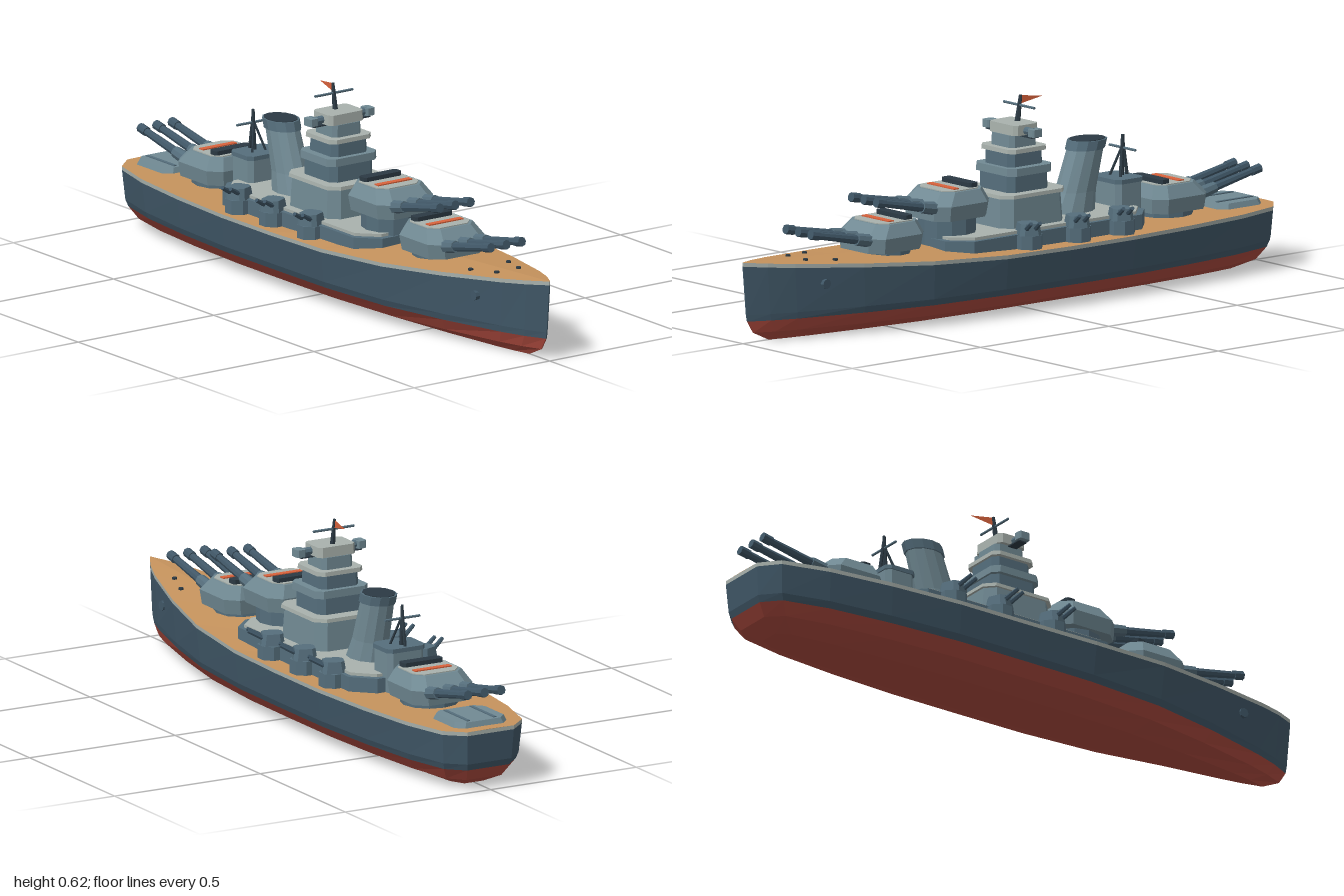
import * as THREE from 'three';

const mat = (name, color) => {
  const m = new THREE.MeshStandardMaterial({ color });
  m.name = name;
  return m;
};
const M = {
  red: mat('hull red', 0xac4a3e),
  hull: mat('hull blue', 0x405767),
  wood: mat('deck wood', 0xc6935d),
  light: mat('pale grey', 0xa9b2ad),
  mid: mat('blue grey', 0x718a94),
  steel: mat('steel blue', 0x556e7c),
  dark: mat('dark steel', 0x2c3a44),
  orange: mat('signal orange', 0xd9623c),
};
M.flag = M.orange.clone();
M.flag.name = 'flag cloth';
M.flag.side = THREE.DoubleSide;

// Faceted normals for every part
function add(parent, name, geo, material) {
  const g = geo.index ? geo.toNonIndexed() : geo;
  g.computeVertexNormals();
  const mesh = new THREE.Mesh(g, material);
  mesh.name = name;
  parent.add(mesh);
  return mesh;
}
function box(parent, name, size, pos, material) {
  const m = add(parent, name, new THREE.BoxGeometry(...size), material);
  m.position.set(...pos);
  return m;
}
// Tapered rod between two points
function rod(parent, name, a, b, r0, r1, material, sides = 8) {
  const A = new THREE.Vector3(...a), B = new THREE.Vector3(...b);
  const m = add(parent, name, new THREE.CylinderGeometry(r1, r0, A.distanceTo(B), sides), material);
  m.position.copy(A).add(B).multiplyScalar(0.5);
  m.quaternion.setFromUnitVectors(new THREE.Vector3(0, 1, 0), B.sub(A).normalize());
  return m;
}
// Skin closed rings from bottom to top, with optional end caps
function loft(rings, bottom = true, top = true) {
  const p = [], n = rings[0].length;
  for (let k = 0; k < rings.length - 1; k++) {
    for (let i = 0; i < n; i++) {
      const j = (i + 1) % n, a = rings[k], b = rings[k + 1];
      p.push(...a[i], ...a[j], ...b[j], ...a[i], ...b[j], ...b[i]);
    }
  }
  const cap = (r, up) => {
    const c = [0, 1, 2].map(d => r.reduce((s, v) => s + v[d], 0) / n);
    for (let i = 0; i < n; i++) {
      const j = (i + 1) % n;
      p.push(...c, ...(up ? r[i] : r[j]), ...(up ? r[j] : r[i]));
    }
  };
  if (bottom) cap(rings[0], false);
  if (top) cap(rings[rings.length - 1], true);
  const g = new THREE.BufferGeometry();
  g.setAttribute('position', new THREE.Float32BufferAttribute(p, 3));
  return g;
}
// Rectangle with cut corners at height y
function oct(x0, x1, hz, c, y) {
  return [[x1, hz - c], [x1, c - hz], [x1 - c, -hz], [x0 + c, -hz],
    [x0, c - hz], [x0, hz - c], [x0 + c, hz], [x1 - c, hz]].map(([x, z]) => [x, y, z]);
}
function block(parent, name, cx, hx, hz, c, y0, y1, material, inset = 0) {
  return add(parent, name, loft([oct(cx - hx, cx + hx, hz, c, y0),
    oct(cx - hx + inset, cx + hx - inset, hz - inset, c, y1)]), material);
}

// Deck outline: [x, half width] from bow to stern
const OUTLINE = [[1, 0.002], [0.935, 0.038], [0.855, 0.07], [0.64, 0.135], [0.41, 0.188], [0.145, 0.212],
  [-0.1, 0.215], [-0.35, 0.215], [-0.59, 0.2], [-0.8, 0.175], [-0.95, 0.137], [-1, 0.08]];
const edgeY = x => (x < 0 ? 0.187 : 0.187 + 0.058 * Math.pow(x, 1.5));
const midY = x => (x < -0.1 ? 0.188 : 0.188 + 0.057 * (x + 0.1) / 1.1);

function buildHull(ship) {
  // Each level: height, bow x, stern x, width factor
  const ring = (y, bow, stern, f) => {
    const side = s => OUTLINE.map(([x, w]) =>
      [x * (x > 0 ? bow : -stern), typeof y === 'function' ? y(x) : y, s * w * f]);
    return [...side(-1), ...side(1).reverse()];
  };
  const r = [ring(0, 0.9, -0.9, 0.4), ring(0.028, 0.96, -0.96, 0.745), ring(0.065, 0.983, -0.985, 0.9),
    ring(0.085, 0.987, -0.993, 0.94), ring(x => edgeY(x) - 0.012, 1, -1, 0.995), ring(edgeY, 1, -1, 1)];
  add(ship, 'lowerHull', loft(r.slice(0, 3), true, false), M.red);
  add(ship, 'upperHull', loft(r.slice(2, 5), false, false), M.hull);
  add(ship, 'deckTrim', loft(r.slice(4, 6), false, false), M.light);
  add(ship, 'deck', loft([r[5], ring(midY, 1, -1, 0)], false, false), M.wood);

  for (const s of [-1, 1]) {
    rod(ship, 'hawseHole', [0.76, 0.165, s * 0.08], [0.76, 0.165, s * 0.104], 0.015, 0.015, M.hull);
    for (const [x, z] of [[0.7, 0.07], [0.79, 0.04]]) {
      rod(ship, 'bollard', [x, 0.2, s * z], [x, edgeY(x) + 0.009, s * z], 0.008, 0.008, M.dark);
    }
  }
  // Stern hatch
  block(ship, 'sternHatch', -0.877, 0.088, 0.092, 0.025, 0.183, 0.204, M.mid, 0.008);
  for (const z of [-0.045, 0.045]) box(ship, 'hatchRail', [0.14, 0.004, 0.01], [-0.877, 0.205, z], M.steel);
}

function mainTurret(ship, x, y, floor, turn) {
  const t = new THREE.Group();
  t.name = 'mainTurret';
  t.position.set(x, y, 0);
  t.rotation.y = turn;
  ship.add(t);
  rod(t, 'barbette', [0, floor - y, 0], [0, 0.005, 0], 0.088, 0.088, M.steel, 12);
  add(t, 'gunHouse', loft([oct(-0.1, 0.105, 0.098, 0.035, 0), oct(-0.105, 0.108, 0.105, 0.036, 0.045),
    oct(-0.088, 0.07, 0.085, 0.03, 0.083)]), M.mid);
  add(t, 'roofPlate', loft([oct(-0.08, 0.062, 0.077, 0.026, 0.082), oct(-0.08, 0.062, 0.077, 0.026, 0.086)]), M.light);
  box(t, 'roofStripe', [0.02, 0.005, 0.125], [0.015, 0.087, 0], M.orange);
  block(t, 'roofRangefinder', -0.05, 0.017, 0.068, 0.006, 0.085, 0.099, M.dark);
  // Three raised barrels with sleeves and muzzle rings
  const at = (d, z) => [0.075 + d * 0.98, 0.034 + d * 0.2, z];
  for (const z of [-0.057, 0, 0.057]) {
    rod(t, 'barrelSleeve', at(0, z), at(0.075, z), 0.021, 0.018, M.steel);
    rod(t, 'barrel', at(0.06, z), at(0.25, z), 0.014, 0.011, M.hull);
    rod(t, 'muzzle', at(0.222, z), at(0.255, z), 0.0145, 0.0145, M.hull);
  }
}

function sideTurret(ship, x, s) {
  const t = new THREE.Group();
  t.name = 'sideTurret';
  t.position.set(x, 0.185, s * 0.155);
  t.rotation.y = -s * (Math.PI / 2 - 0.4);
  ship.add(t);
  rod(t, 'sideBarbette', [0, 0, 0], [0, 0.045, 0], 0.044, 0.044, M.steel);
  block(t, 'sideGunHouse', 0, 0.036, 0.034, 0.012, 0.045, 0.08, M.steel, 0.005);
  for (const z of [-0.014, 0.014]) {
    rod(t, 'sideBarrel', [0.02, 0.062, z], [0.074, 0.09, z], 0.008, 0.006, M.hull, 6);
  }
}

function buildTower(ship) {
  // Bridge tiers: bottom, top, half length, half width, material
  const tiers = [[0.235, 0.33, 0.122, 0.11, M.mid], [0.33, 0.341, 0.125, 0.113, M.light],
    [0.341, 0.392, 0.08, 0.08, M.steel], [0.392, 0.415, 0.086, 0.092, M.mid],
    [0.415, 0.457, 0.068, 0.066, M.steel], [0.457, 0.47, 0.075, 0.078, M.light],
    [0.47, 0.507, 0.052, 0.053, M.mid], [0.507, 0.538, 0.048, 0.064, M.light]];
  tiers.forEach(([y0, y1, hx, hz, m], i) =>
    block(ship, 'bridgeTier' + (i + 1), -0.055, hx, hz, hx * 0.24, y0, y1, m, i ? 0.001 : 0.005));
  // Rangefinder arms on the top tier
  rod(ship, 'rangefinderArm', [-0.05, 0.52, -0.1], [-0.05, 0.52, 0.1], 0.012, 0.012, M.steel);
  box(ship, 'rangefinderShelf', [0.03, 0.004, 0.21], [-0.05, 0.505, 0], M.dark);
  for (const s of [-1, 1]) {
    block(ship, 'rangefinderHead', -0.05, 0.019, 0.015, 0.005, 0.508, 0.531, M.mid).position.z = s * 0.104;
  }
  // Signal mast and pennant
  rod(ship, 'foremast', [-0.07, 0.535, 0], [-0.082, 0.615, 0], 0.009, 0.005, M.dark, 6);
  rod(ship, 'foremastYard', [-0.077, 0.585, -0.07], [-0.077, 0.585, 0.07], 0.004, 0.004, M.steel, 6);
  const pennant = new THREE.Shape([new THREE.Vector2(0, 0.014), new THREE.Vector2(-0.08, 0.004), new THREE.Vector2(0, -0.012)]);
  const flag = add(ship, 'pennant', new THREE.ShapeGeometry(pennant), M.flag);
  flag.position.set(-0.08, 0.6, 0);
  flag.rotation.y = -0.12;
}

function buildFunnel(ship) {
  // Raked oval sections
  const oval = (y, rx, rz) => Array.from({ length: 12 }, (_, i) => {
    const a = i / 12 * Math.PI * 2;
    return [-0.275 - (y - 0.235) * 0.31 + rx * Math.cos(a), y, -rz * Math.sin(a)];
  });
  add(ship, 'funnel', loft([oval(0.235, 0.082, 0.06), oval(0.3, 0.068, 0.051), oval(0.425, 0.06, 0.047)]), M.mid);
  add(ship, 'funnelCap', loft([oval(0.422, 0.065, 0.052), oval(0.45, 0.065, 0.052)]), M.steel);
  add(ship, 'funnelMouth', loft([oval(0.449, 0.059, 0.046), oval(0.452, 0.059, 0.046)]), M.dark);
}

function buildAftMast(ship) {
  block(ship, 'aftHouse', -0.46, 0.05, 0.062, 0.014, 0.187, 0.31, M.mid);
  block(ship, 'aftHouseRoof', -0.46, 0.054, 0.066, 0.015, 0.31, 0.323, M.steel);
  rod(ship, 'aftMast', [-0.475, 0.32, 0], [-0.48, 0.445, 0], 0.008, 0.005, M.dark, 6);
  for (const s of [-1, 1]) {
    rod(ship, 'aftMastLeg', [-0.45, 0.32, s * 0.025], [-0.478, 0.41, 0], 0.004, 0.004, M.dark, 6);
  }
  rod(ship, 'aftMastStay', [-0.517, 0.19, 0], [-0.48, 0.43, 0], 0.006, 0.005, M.dark, 6);
  rod(ship, 'aftMastYard', [-0.48, 0.405, -0.06], [-0.48, 0.405, 0.06], 0.004, 0.004, M.steel, 6);
}

export function createModel() {
  const ship = new THREE.Group();
  ship.name = 'battleship';
  buildHull(ship);

  // Central deckhouse with a dark rim around its pale roof
  block(ship, 'deckhouse', -0.1, 0.388, 0.152, 0.062, 0.18, 0.232, M.steel);
  block(ship, 'deckhouseRoof', -0.1, 0.37, 0.138, 0.057, 0.231, 0.241, M.light);

  mainTurret(ship, 0.46, 0.225, 0.185, 0);
  mainTurret(ship, 0.205, 0.29, 0.19, 0);
  mainTurret(ship, -0.64, 0.205, 0.18, Math.PI);
  for (const x of [-0.34, -0.17, 0.02]) for (const s of [-1, 1]) sideTurret(ship, x, s);

  buildTower(ship);
  buildFunnel(ship);
  buildAftMast(ship);
  return ship;
}
